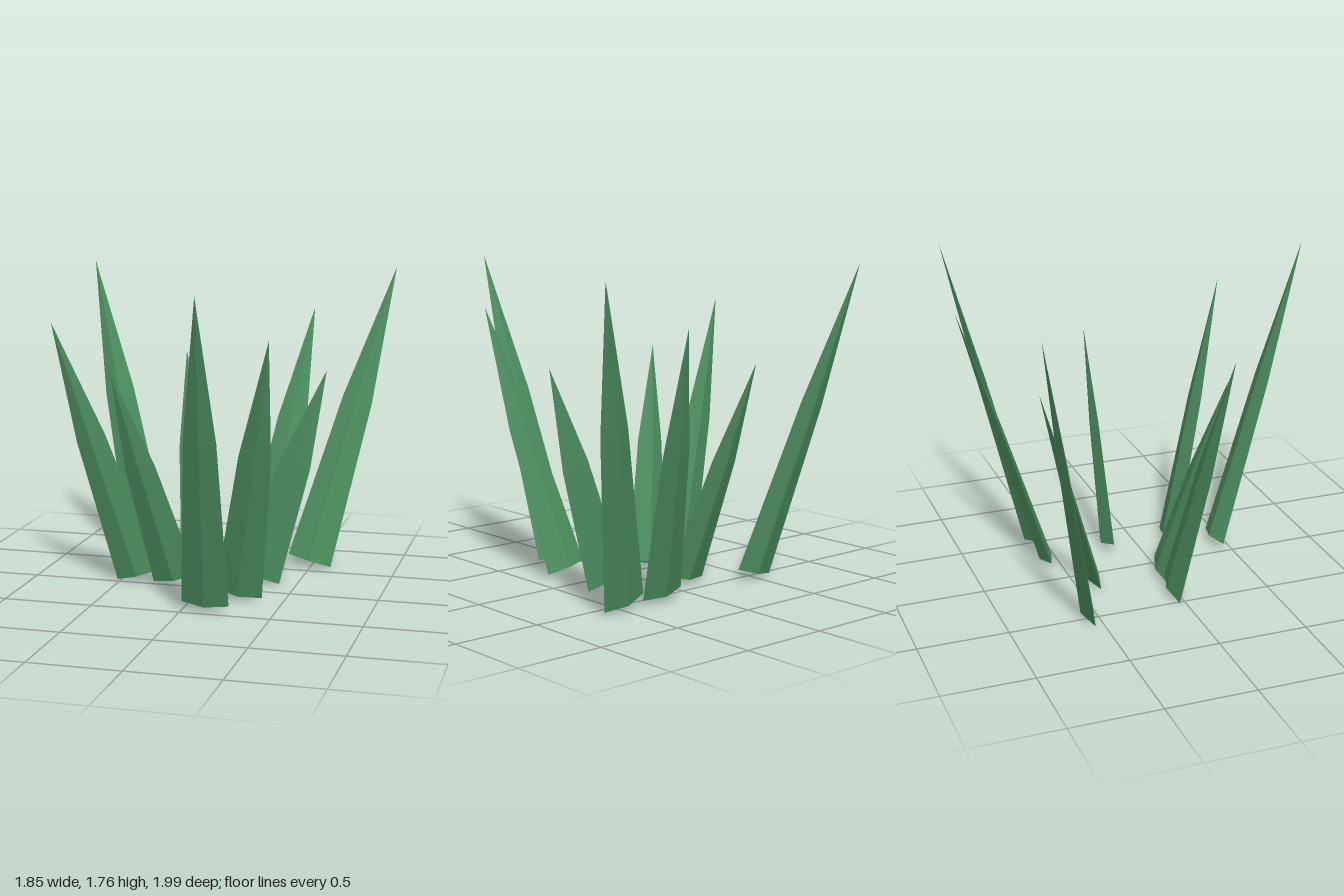
import * as THREE from 'three';

// Each blade: base centre x, z, then tip x, y, z
const BLADES = [
  [0.128, 0.44, 0.22, 1.76, 0.99],
  [0.255, 0.195, 0.505, 1.5, 0.595],
  [0.275, -0.18, 0.66, 1.245, -0.18],
  [0.495, -0.585, 0.925, 1.76, -0.95],
  [0.22, -0.575, 0.43, 1.5, -0.995],
  [-0.112, -0.4, -0.3, 1.245, -0.74],
  [-0.485, -0.56, -0.925, 1.76, -0.905],
  [-0.395, -0.03, -0.84, 1.5, 0.135],
  [-0.17, -0.01, -0.455, 1.245, 0.26],
];
const BASE_Y = 0.041;

// Faceted diamond-section spike with a closed base, tapering in two steps
function bladeGeometry(length) {
  const profile = [[0, 0], [1, 0], [0.68, 0.55], [0, 1]].map(([r, y]) => new THREE.Vector2(r, y));
  const geometry = new THREE.LatheGeometry(profile, 4).toNonIndexed();
  geometry.scale(0.131, length, 0.037);
  geometry.computeVertexNormals();
  return geometry;
}

export function createModel() {
  const group = new THREE.Group();
  group.name = 'grassTuft';
  const green = new THREE.MeshStandardMaterial({ color: 0x4d8f60 });
  green.name = 'leafGreen';

  BLADES.forEach(([x, z, tipX, tipY, tipZ], i) => {
    const base = new THREE.Vector3(x, BASE_Y, z);
    const axis = new THREE.Vector3(tipX, tipY, tipZ).sub(base);
    const length = axis.length();
    axis.normalize();

    const blade = new THREE.Mesh(bladeGeometry(length), green);
    blade.name = `blade${i + 1}`;
    blade.position.copy(base);
    // The broad side stays facing the front while the blade leans
    const thin = new THREE.Vector3(1, 0, 0).cross(axis).normalize();
    const wide = new THREE.Vector3().crossVectors(axis, thin);
    blade.quaternion.setFromRotationMatrix(new THREE.Matrix4().makeBasis(wide, axis, thin));
    group.add(blade);
  });
  return group;
}
